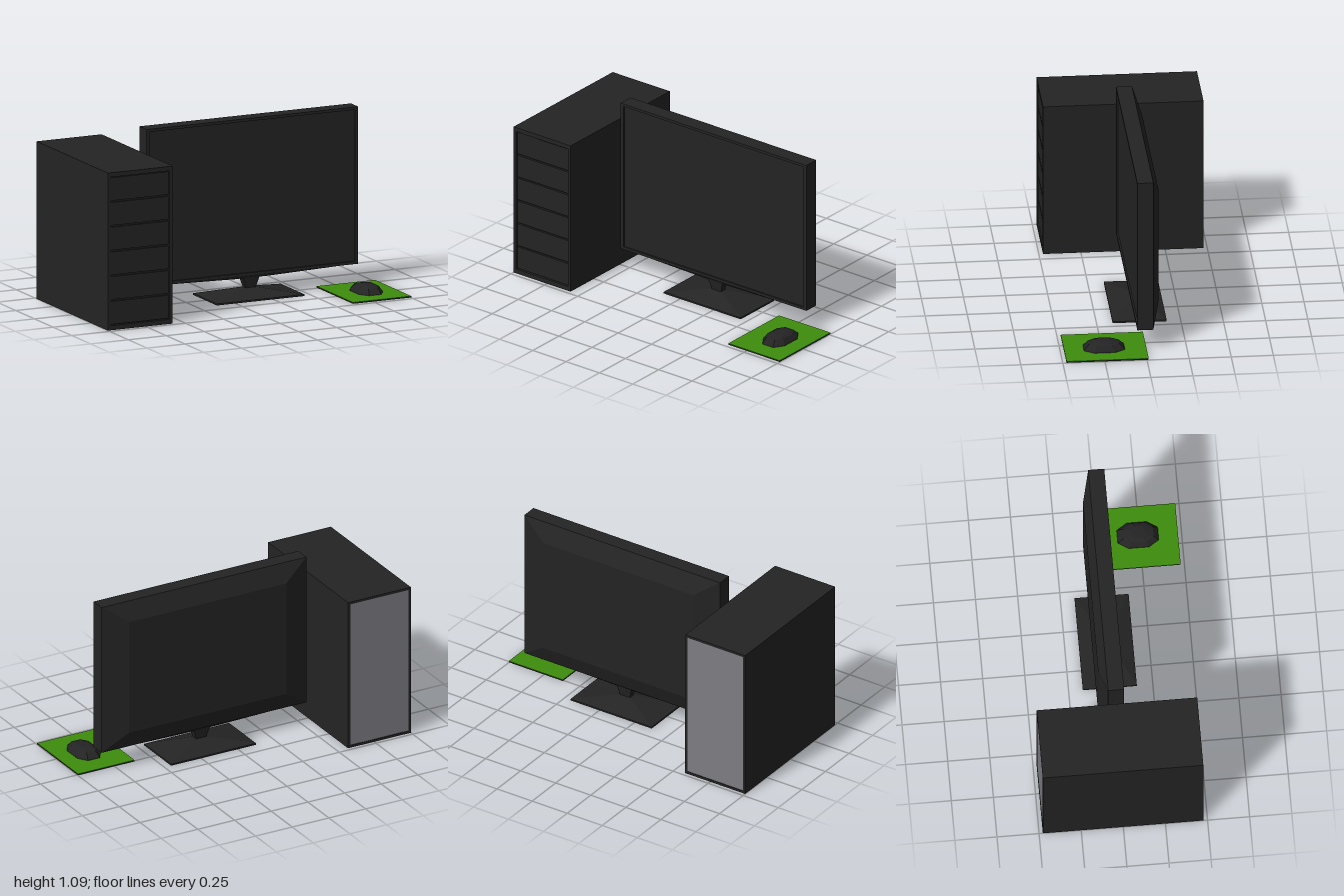
import * as THREE from 'three';

const mat = (name, color) => {
  const m = new THREE.MeshStandardMaterial({ color });
  m.name = name;
  return m;
};

// Rectangle across z (counterclockwise from the front), for lofts running back to front
const rectZ = (x0, x1, y0, y1, z) => [[x0, y0, z], [x1, y0, z], [x1, y1, z], [x0, y1, z]];
// Rectangle across y (counterclockwise from above), for lofts running upward
const rectY = (x0, x1, z0, z1, y) => [[x1, y, z1], [x1, y, z0], [x0, y, z0], [x0, y, z1]];
// Elongated octagon across y
const octagonY = (x, z, rx, rz, y) =>
  [[0.5, 1], [1, 0.5], [1, -0.5], [0.5, -1], [-0.5, -1], [-1, -0.5], [-1, 0.5], [-0.5, 1]]
    .map(([u, v]) => [x + u * rx, y, z + v * rz]);

// Flat-faced solid through a row of matching rings, capped at both ends
function loft(rings) {
  const pos = [];
  const tri = (...points) => points.forEach((p) => pos.push(...p));
  const n = rings[0].length;
  for (let r = 0; r < rings.length - 1; r++) {
    const a = rings[r], b = rings[r + 1];
    for (let i = 0; i < n; i++) {
      const j = (i + 1) % n;
      tri(a[i], a[j], b[j]);
      tri(a[i], b[j], b[i]);
    }
  }
  const first = rings[0], last = rings[rings.length - 1];
  for (let i = 1; i < n - 1; i++) {
    tri(first[0], first[i + 1], first[i]);
    tri(last[0], last[i], last[i + 1]);
  }
  const g = new THREE.BufferGeometry();
  g.setAttribute('position', new THREE.Float32BufferAttribute(pos, 3));
  g.computeVertexNormals();
  return g;
}

export function createModel() {
  const root = new THREE.Group();
  root.name = 'desktopComputer';
  const black = mat('black plastic', 0x242424);
  const grey = mat('grey metal', 0x7e7d83);
  const green = mat('green cloth', 0x3d8c0d);

  const group = (name) => {
    const g = new THREE.Group();
    g.name = name;
    root.add(g);
    return g;
  };
  const add = (parent, name, geometry, material) => {
    const m = new THREE.Mesh(geometry, material);
    m.name = name;
    parent.add(m);
    return m;
  };
  const box = (parent, name, [x0, x1], [y0, y1], [z0, z1], material) =>
    add(parent, name, new THREE.BoxGeometry(x1 - x0, y1 - y0, z1 - z0), material)
      .position.set((x0 + x1) / 2, (y0 + y1) / 2, (z0 + z1) / 2);

  // Tower: case with shallow recesses front and back
  const tower = group('tower');
  add(tower, 'case', loft([
    rectZ(-0.985, -0.587, 0.015, 0.94, -0.47),
    rectZ(-0.985, -0.587, 0.015, 0.94, -0.478),
    rectZ(-1, -0.572, 0, 0.955, -0.478),
    rectZ(-1, -0.572, 0, 0.955, 0.475),
    rectZ(-0.98, -0.592, 0.028, 0.928, 0.475),
    rectZ(-0.98, -0.592, 0.028, 0.928, 0.455),
  ]), black);
  box(tower, 'backPanel', [-0.985, -0.587], [0.015, 0.94], [-0.474, -0.468], grey);
  // Six drive bay covers
  for (let i = 0; i < 6; i++) {
    const y = 0.028 + i * 0.15;
    box(tower, 'bayCover', [-0.975, -0.597], [y + 0.005, y + 0.145], [0.45, 0.468], black);
  }

  // Monitor: bezel, sunken screen and bevelled back
  const monitor = group('monitor');
  add(monitor, 'housing', loft([
    rectZ(-0.37, 0.7, 0.245, 0.97, -0.095),
    rectZ(-0.532, 0.862, 0.133, 1.086, -0.05),
    rectZ(-0.532, 0.862, 0.133, 1.086, 0.045),
    rectZ(-0.512, 0.842, 0.15, 1.069, 0.045),
    rectZ(-0.512, 0.842, 0.15, 1.069, 0.035),
  ]), black);
  add(monitor, 'lowerTrim', loft([
    rectY(0.06, 0.27, -0.03, 0.03, 0.116),
    rectY(-0.51, 0.84, -0.045, 0.04, 0.134),
  ]), black);

  // Stand: sloped foot and flared neck
  add(monitor, 'standFoot', loft([
    rectY(-0.123, 0.455, -0.166, 0.155, 0),
    rectY(-0.123, 0.455, -0.166, 0.155, 0.01),
    rectY(0.125, 0.207, -0.022, 0.022, 0.054),
  ]), black);
  add(monitor, 'standNeck', loft([
    rectY(0.133, 0.2, -0.018, 0.018, 0.05),
    rectY(0.113, 0.219, -0.03, 0.03, 0.118),
  ]), black);

  // Mouse pad: dark base with a green top
  const pad = group('mousePad');
  box(pad, 'padBase', [0.615, 1], [0.002, 0.009], [-0.01, 0.478], black);
  box(pad, 'padTop', [0.615, 1], [0.009, 0.0105], [-0.01, 0.478], green);

  // Mouse: faceted dome
  add(group('mouse'), 'mouseBody', loft([
    octagonY(0.819, 0.24, 0.08, 0.122, 0.01),
    octagonY(0.819, 0.24, 0.078, 0.118, 0.018),
    octagonY(0.819, 0.242, 0.06, 0.09, 0.046),
    octagonY(0.819, 0.245, 0.038, 0.04, 0.058),
  ]), black);

  return root;
}
